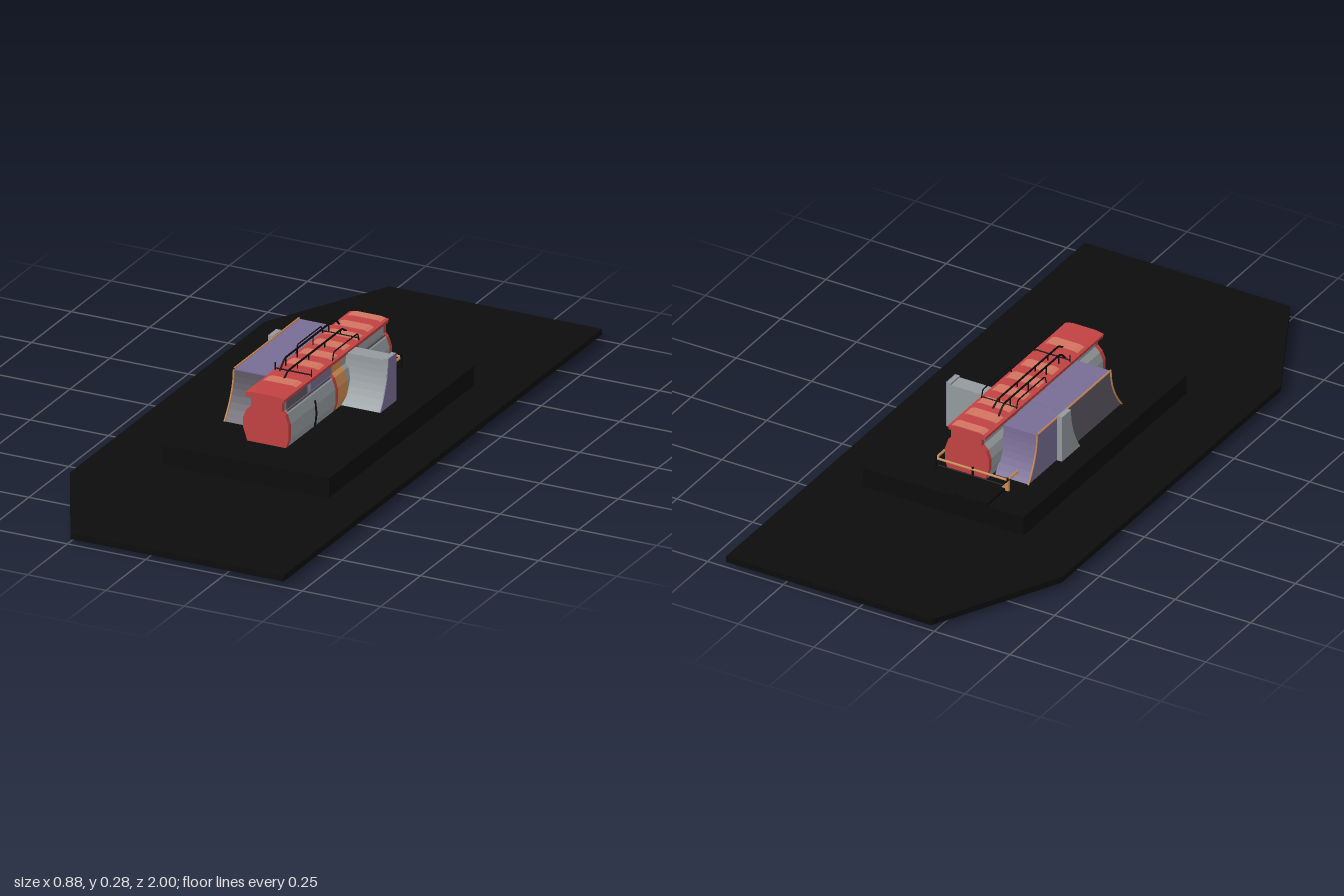
import * as THREE from 'three';

export function createModel() {
  const root = new THREE.Group();
  const mat = (name, color, side = THREE.FrontSide) => {
    const m = new THREE.MeshStandardMaterial({ color, side });
    m.name = name;
    return m;
  };
  const black = mat('black', 0x0c0c0c);
  const red = mat('red', 0xc24242);
  const salmon = mat('salmon', 0xd27460);
  const grey = mat('grey', 0x949a9e);
  const dark = mat('dark grey', 0x5c5862);
  const purple = mat('purple', 0x786c94);
  const orange = mat('orange', 0xcc8a52);

  const add = (name, geo, m) => {
    const mesh = new THREE.Mesh(geo, m);
    mesh.name = name;
    root.add(mesh);
    return mesh;
  };
  // box given by its limits on each axis
  const box = (name, m, x0, x1, y0, y1, z0, z1) =>
    add(name, new THREE.BoxGeometry(x1 - x0, y1 - y0, z1 - z0), m)
      .position.set((x0 + x1) / 2, (y0 + y1) / 2, (z0 + z1) / 2);
  const shapeOf = pts => new THREE.Shape(pts.map(p => new THREE.Vector2(p[0], p[1])));
  // x-y section swept along z
  const sweepZ = (name, m, pts, z0, z1) => {
    const geo = new THREE.ExtrudeGeometry(shapeOf(pts), { depth: z1 - z0, bevelEnabled: false });
    add(name, geo, m).position.z = z0;
  };
  // z-y section swept along x
  const sweepX = (name, m, pts, x0, x1) => {
    const geo = new THREE.ExtrudeGeometry(shapeOf(pts), { depth: x1 - x0, bevelEnabled: false });
    geo.rotateY(-Math.PI / 2);
    add(name, geo, m).position.x = x1;
  };
  // thin bar that follows straight pieces
  const bar = (name, m, pts, r = 0.003) => {
    const path = new THREE.CurvePath();
    const v = pts.map(p => new THREE.Vector3(...p));
    for (let i = 1; i < v.length; i++) path.add(new THREE.LineCurve3(v[i - 1], v[i]));
    add(name, new THREE.TubeGeometry(path, (v.length - 1) * 8, r, 6), m);
  };
  // concave flank from (zBottom, y0) up to (zTop, y1)
  const flank = (zBottom, zTop, y0, y1) => {
    const pts = [];
    for (let i = 0; i <= 8; i++) {
      const t = i / 8;
      pts.push([zTop + (zBottom - zTop) * (1 - t) ** 2, y0 + (y1 - y0) * t]);
    }
    return pts;
  };

  // ground slab with two cut corners
  const slab = new THREE.ExtrudeGeometry(
    shapeOf([[-0.24, -1], [0.44, -1], [0.44, 1], [-0.24, 1], [-0.44, 0.61], [-0.44, -0.61]]),
    { depth: 0.018, bevelEnabled: false });
  slab.rotateX(-Math.PI / 2);
  add('groundSlab', slab, black).position.y = 0.017;

  // plinth
  box('plinth', black, -0.23, 0.3, 0.014, 0.095, -0.47, 0.44);
  box('plinthRaisedPlate', black, -0.11, 0, 0.09, 0.104, -0.47, -0.37);
  box('plinthUnderside', black, -0.18, 0.23, 0.011, 0.015, -0.4, 0.36);

  // main body in coloured lengths
  const body = [
    [-0.03, 0.09], [0.09, 0.09], [0.1, 0.12], [0.1, 0.165], [0.09, 0.195], [0.08, 0.205],
    [0.08, 0.235], [-0.02, 0.235], [-0.02, 0.205], [-0.035, 0.19], [-0.045, 0.165], [-0.045, 0.135],
  ];
  [
    [-0.35, -0.335, red], [-0.335, -0.18, grey], [-0.18, -0.15, red], [-0.15, -0.07, grey],
    [-0.07, -0.01, orange], [-0.01, 0.005, red], [0.005, 0.285, grey], [0.285, 0.3, red],
  ].forEach(([z0, z1, m]) => sweepZ('bodySection', m, body, z0, z1));

  // side seams, upper window strips and door lever
  for (const [z0, z1] of [[-0.33, -0.18], [0.01, 0.28]])
    box('sideSeam', dark, 0.08, 0.087, 0.199, 0.205, z0, z1);
  box('upperWindow', purple, 0.08, 0.084, 0.206, 0.234, 0, 0.13);
  box('upperWindowRear', dark, 0.08, 0.084, 0.206, 0.234, 0.15, 0.28);
  bar('sideLever', black, [[0.098, 0.1, 0.13], [0.103, 0.14, 0.13], [0.098, 0.18, 0.13]]);

  // roof with crosswise stripes
  sweepZ('roof', red, [[-0.035, 0.232], [0.085, 0.232], [0.088, 0.244], [0.065, 0.249], [-0.015, 0.249], [-0.038, 0.244]],
    -0.355, 0.302);
  for (const [z0, z1] of [[-0.352, -0.32], [-0.28, -0.24], [-0.21, -0.17], [-0.13, -0.09], [-0.05, -0.01],
    [0.03, 0.07], [0.17, 0.21]])
    sweepZ('roofStripe', salmon, [[-0.037, 0.243], [0.087, 0.243], [0.066, 0.2505], [-0.016, 0.2505]], z0, z1);

  // roof rails
  bar('roofRail', black, [[-0.015, 0.245, -0.25], [-0.015, 0.276, -0.22], [-0.015, 0.276, 0.1], [-0.015, 0.245, 0.13]]);
  bar('roofRail', black, [[0.022, 0.245, -0.22], [0.022, 0.264, -0.19], [0.022, 0.264, 0.15], [0.022, 0.245, 0.18]]);
  for (const z of [-0.18, -0.08, 0.02, 0.09]) {
    bar('railPost', black, [[-0.015, 0.245, z], [-0.015, 0.276, z]], 0.002);
    bar('railPost', black, [[0.022, 0.245, z], [0.022, 0.264, z]], 0.002);
  }
  for (const x of [-0.034, 0.082]) {
    bar('sideRail', black, [[x, 0.24, -0.18], [x, 0.269, -0.17], [x, 0.269, -0.02], [x, 0.24, -0.01]], 0.002);
    bar('sidePost', black, [[x, 0.24, 0.12], [x, 0.269, 0.12]], 0.002);
  }
  for (const z of [-0.18, 0.12])
    bar('roofCrossbar', black, [[-0.034, 0.251, z], [0.082, 0.251, z]], 0.002);

  // long side block: plain rear half, dark front half with coloured top
  const rear = flank(-0.31, -0.26, 0.09, 0.235).reverse();
  sweepX('sideBlockRear', purple, [...rear, [-0.11, 0.09], [-0.11, 0.235]], -0.15, -0.04);
  const front = flank(0.21, 0.15, 0.09, 0.233);
  sweepX('sideBlockFront', dark, [[-0.11, 0.09], ...front, [-0.11, 0.233]], -0.15, -0.04);
  box('sideBlockTop', purple, -0.15, -0.04, 0.232, 0.236, -0.11, 0.15);

  // orange edge along the outer side of the long block
  for (const [a, b] of [[-0.31, -0.26], [0.21, 0.15]])
    bar('sideBlockEdge', orange, flank(a, b, 0.095, 0.236).map(p => [-0.151, p[1], p[0]]));
  bar('sideBlockEdge', orange, [[-0.151, 0.237, -0.26], [-0.151, 0.237, 0.15]]);

  // cross wing with a concave front on both sides
  const wing = top => [[-0.15, 0.09], ...flank(-0.045, -0.1, 0.09, top), [-0.15, top]];
  sweepX('rightWing', grey, wing(0.236), 0.08, 0.203);
  sweepX('rightWingEdge', grey, wing(0.242), 0.2, 0.214);
  sweepX('rightWingEnd', purple, wing(0.242), 0.213, 0.216);
  sweepX('leftWingEdge', grey, wing(0.242), -0.168, -0.152);

  // rear guard rail
  bar('rearGuard', orange, [[-0.115, 0.13, -0.31], [-0.115, 0.13, -0.365], [0.122, 0.13, -0.365], [0.122, 0.13, -0.2]], 0.004);
  bar('rearLowerGuard', black, [[-0.115, 0.108, -0.365], [0.122, 0.108, -0.365], [0.122, 0.108, -0.2]]);
  for (const [x, z] of [[-0.115, -0.365], [0, -0.365], [0.122, -0.365], [0.122, -0.2]])
    bar('guardPost', black, [[x, 0.09, z], [x, 0.14, z]]);
  sweepZ('cornerGusset', orange, [[-0.12, 0.095], [-0.09, 0.095], [-0.12, 0.13]], -0.368, -0.36);

  // outlines and feet beneath the plinth
  const outline = (m, x0, x1, z0, z1) => {
    for (const x of [x0, x1]) box('undersideStrip', m, x - 0.003, x + 0.003, 0.009, 0.013, z0, z1);
    for (const z of [z0, z1]) box('undersideStrip', m, x0, x1, 0.009, 0.013, z - 0.003, z + 0.003);
  };
  outline(grey, -0.045, 0.1, -0.35, 0.3);
  outline(purple, -0.15, -0.045, -0.31, 0.21);
  outline(dark, 0.1, 0.215, -0.15, -0.05);
  for (const z of [-0.3, -0.22, -0.04, 0.04, 0.19, 0.25]) {
    box('foot', dark, -0.052, -0.02, 0.003, 0.012, z - 0.014, z + 0.014);
    box('foot', dark, 0.07, 0.102, 0.003, 0.012, z - 0.014, z + 0.014);
  }
  box('centreFoot', dark, -0.02, 0.07, 0, 0.012, -0.03, -0.015);
  return root;
}
